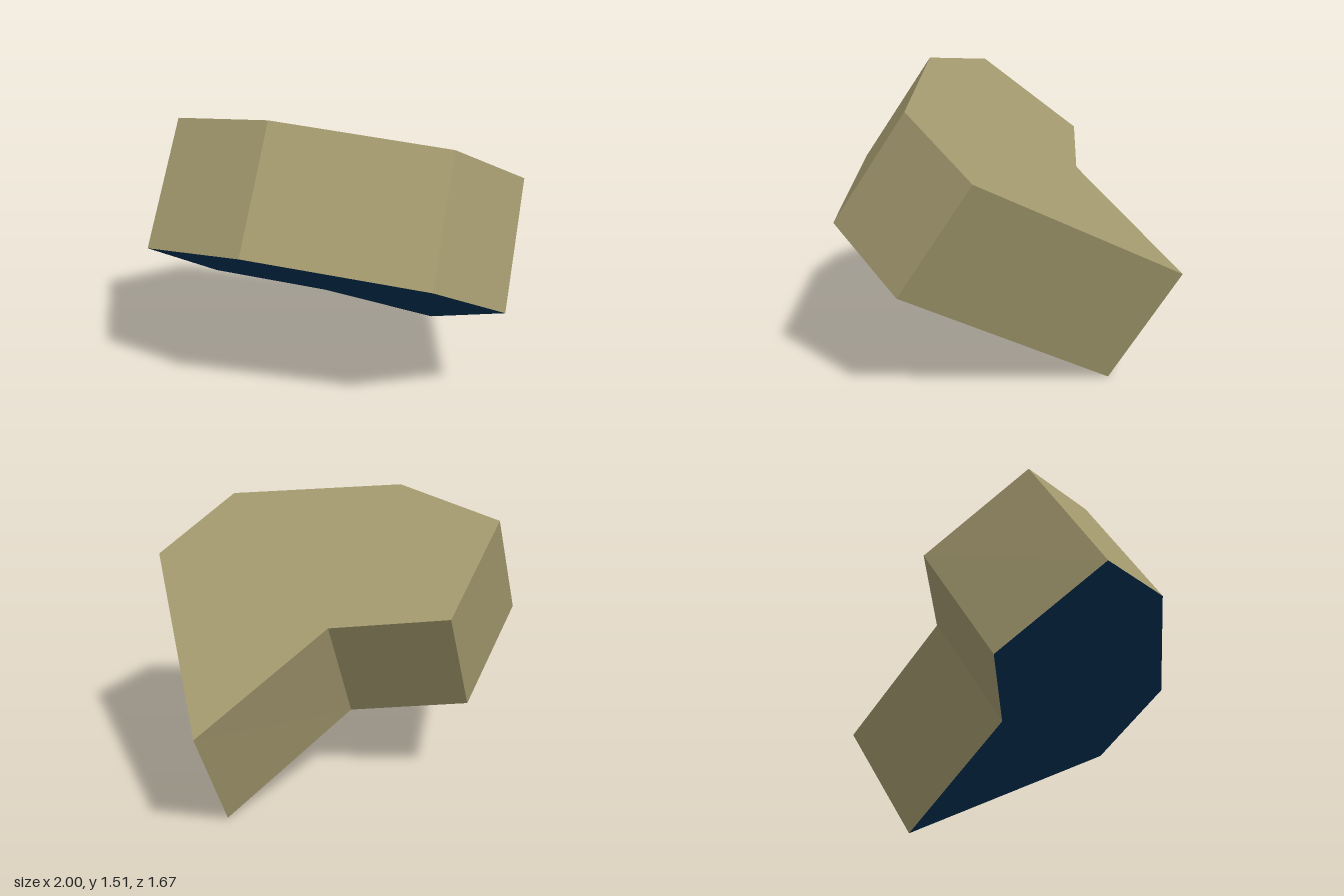
import * as THREE from 'three';

// Matching corners of the upper and lower outline, counter-clockwise seen from above
const upper = [
  [-0.165, 1.06, -0.836], [-0.675, 1.41, -0.615], [-0.503, 1.51, -0.05], [0.102, 1.417, 0.622],
  [0.577, 1.163, 0.622], [1.0, 0.593, -0.39], [0.247, 0.983, -0.417],
];
const lower = [
  [-0.478, 0.48, -0.65], [-1.0, 0.838, -0.428], [-0.825, 0.94, 0.15], [-0.205, 0.843, 0.836],
  [0.278, 0.585, 0.836], [0.707, 0.0, -0.195], [-0.055, 0.4, -0.22],
];

function facetMesh(name, corners, material) {
  const geometry = new THREE.BufferGeometry();
  geometry.setAttribute('position', new THREE.Float32BufferAttribute(corners.flat(), 3));
  geometry.computeVertexNormals();
  const mesh = new THREE.Mesh(geometry, material);
  mesh.name = name;
  return mesh;
}

function capCorners(outline, flip) {
  const flat = outline.map(([x, , z]) => new THREE.Vector2(x, -z));
  return THREE.ShapeUtils.triangulateShape(flat, []).flatMap(([a, b, c]) =>
    (flip ? [c, b, a] : [a, b, c]).map((i) => outline[i]));
}

export function createModel() {
  const tan = new THREE.MeshStandardMaterial({ color: 0xa2986d });
  tan.name = 'tan';
  const navy = new THREE.MeshStandardMaterial({ color: 0x003354 });
  navy.name = 'navy';

  // Side walls joining the two outlines
  const walls = upper.flatMap((a, i) => {
    const j = (i + 1) % upper.length;
    return [a, lower[i], lower[j], a, lower[j], upper[j]];
  });

  const model = new THREE.Group();
  model.name = 'slantedBlock';
  model.add(
    facetMesh('topFace', capCorners(upper, false), tan),
    facetMesh('sideWalls', walls, tan),
    facetMesh('undersideFace', capCorners(lower, true), navy),
  );
  return model;
}
